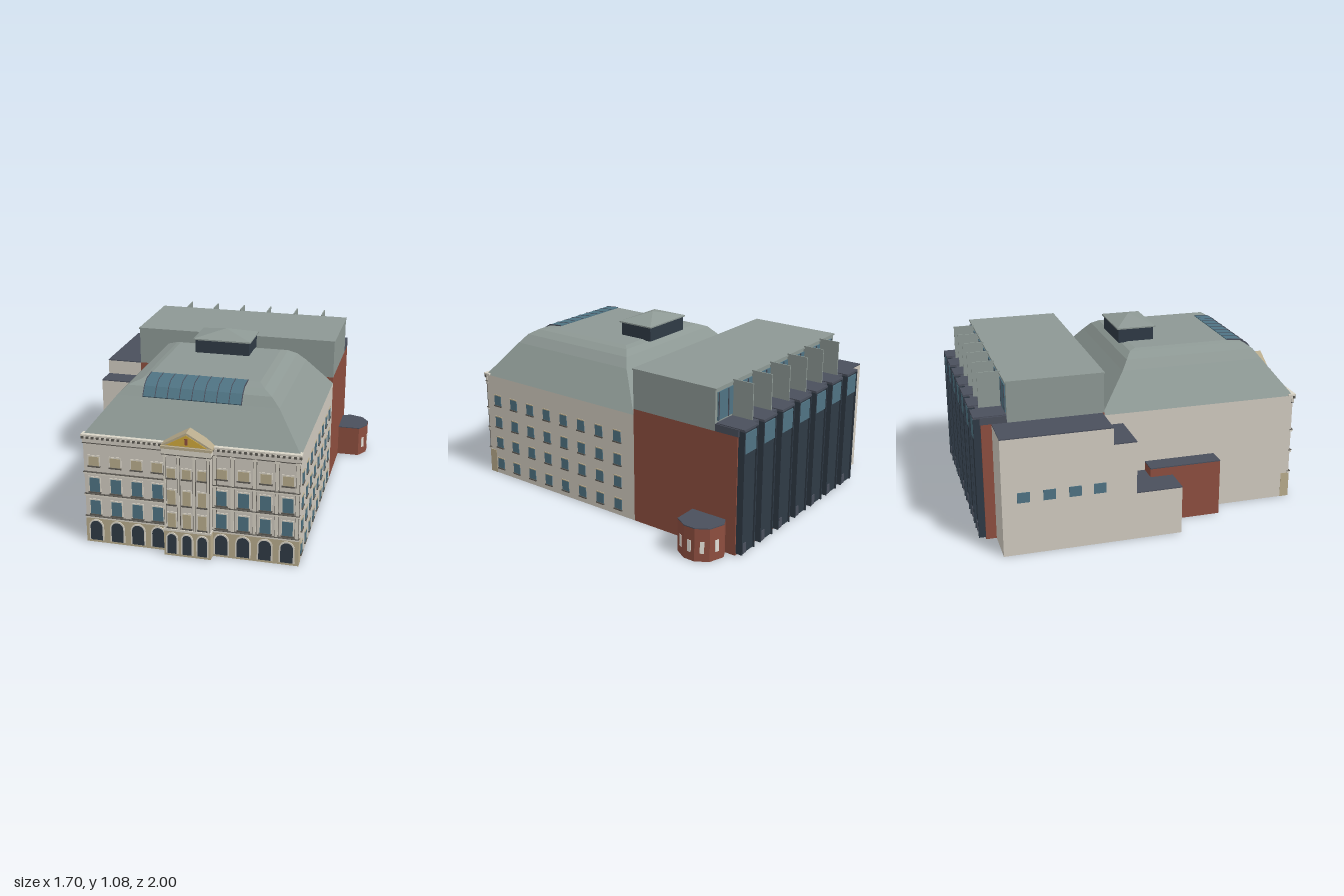
import * as THREE from 'three';

const mat = (color) => new THREE.MeshStandardMaterial({ color, flatShading: true });
const M = {
  stone: mat(0xd0cabf), tan: mat(0xb8ab8c), trim: mat(0xdad5c8), roof: mat(0x8d9894), brick: mat(0x8d4e3f),
  dark: mat(0x2f3a45), slate: mat(0x4a4f5c), glass: mat(0x4f7383), gold: mat(0xd0a83c), line: mat(0x5d5a54),
  blind: mat(0xb9ad8d), white: mat(0xe4e0d8),
};

export function createModel() {
  const root = new THREE.Group();
  const add = (name, geo, m) => {
    const mesh = new THREE.Mesh(geo, m);
    mesh.name = name;
    root.add(mesh);
    return mesh;
  };
  // box given by its limits
  const box = (name, m, x0, x1, y0, y1, z0, z1) => {
    const g = new THREE.BoxGeometry(x1 - x0, y1 - y0, z1 - z0);
    g.translate((x0 + x1) / 2, (y0 + y1) / 2, (z0 + z1) / 2);
    return add(name, g, m);
  };
  // stacked rectangles [y, x0, x1, z0, z1] joined into a closed hipped form
  const hipped = (name, m, rings) => {
    const pts = rings.map(([y, x0, x1, z0, z1]) => [[x0, y, z1], [x1, y, z1], [x1, y, z0], [x0, y, z0]]);
    const pos = [];
    const quad = (a, b, c, d) => pos.push(...a, ...b, ...c, ...a, ...c, ...d);
    for (let r = 0; r + 1 < pts.length; r++)
      for (let i = 0; i < 4; i++) {
        const j = (i + 1) % 4;
        quad(pts[r][i], pts[r][j], pts[r + 1][j], pts[r + 1][i]);
      }
    quad(...pts[pts.length - 1]);
    quad(...pts[0].slice().reverse());
    const g = new THREE.BufferGeometry();
    g.setAttribute('position', new THREE.Float32BufferAttribute(pos, 3));
    g.computeVertexNormals();
    return add(name, g, m);
  };
  const poly = (p) => new THREE.Shape(p.map(([x, y]) => new THREE.Vector2(x, y)));
  const extrude = (shape, depth) => new THREE.ExtrudeGeometry(shape, { depth, bevelEnabled: false, curveSegments: 8 });

  // main block and its mansard roof
  box('mainBlock', M.stone, -0.57, 0.66, 0, 0.66, -0.26, 0.93);
  hipped('mainRoof', M.roof, [
    [0.66, -0.57, 0.66, -0.26, 0.93], [0.86, -0.41, 0.51, -0.09, 0.78], [0.91, -0.36, 0.46, -0.05, 0.745],
    [0.938, -0.29, 0.41, -0.01, 0.7], [0.946, -0.26, 0.37, 0.03, 0.62],
  ]);

  // curved skylight on the front roof slope
  const skylight = (name, m, x0, x1, o) => {
    const g = extrude(poly([[0.775, 0.85], [0.78 + o, 0.86 + o], [0.745 + o, 0.91 + o], [0.7 + o, 0.938 + o],
      [0.615, 0.946 + o], [0.615, 0.92], [0.7, 0.9]]), x1 - x0);
    g.rotateY(-Math.PI / 2);
    g.translate(x1, 0, 0);
    add(name, g, m);
  };
  skylight('skylight', M.glass, -0.26, 0.3, 0.005);
  for (let i = 0; i <= 8; i++) skylight('skylightBar', M.slate, -0.262 + i * 0.07, -0.258 + i * 0.07, 0.007);

  // roof lantern
  box('lanternBox', M.dark, -0.12, 0.21, 0.94, 1.03, -0.03, 0.19);
  hipped('lanternRoof', M.roof, [[1.025, -0.13, 0.22, -0.04, 0.2], [1.033, -0.13, 0.22, -0.04, 0.2],
    [1.076, 0.044, 0.046, 0.079, 0.081]]);

  // window with surround, sill and glazing on the front
  const frontWindow = (x, y, w, h, z, m) => {
    box('windowFrame', M.trim, x - w / 2 - 0.006, x + w / 2 + 0.006, y, y + h + 0.008, z, z + 0.004);
    box('windowPane', m, x - w / 2, x + w / 2, y, y + h, z, z + 0.006);
    box('windowSill', M.line, x - w / 2 - 0.007, x + w / 2 + 0.007, y - 0.008, y, z, z + 0.01);
  };
  const archShape = (x, w, y0, y1) => {
    const s = new THREE.Shape(), r = w / 2;
    s.moveTo(x - r, y0);
    s.lineTo(x + r, y0);
    s.lineTo(x + r, y1 - r);
    s.absarc(x, y1 - r, r, 0, Math.PI, false);
    s.lineTo(x - r, y0);
    return s;
  };
  const frontArch = (x, w, z) => {
    add('archSurround', extrude(archShape(x, w + 0.018, 0.015, 0.146), 0.005), M.trim).position.z = z;
    add('archOpening', extrude(archShape(x, w, 0.017, 0.137), 0.008), M.dark).position.z = z;
  };

  // projecting centre bay
  box('centreBay', M.stone, -0.09, 0.175, 0, 0.66, 0.9, 0.98);
  box('bayBase', M.tan, -0.092, 0.177, 0, 0.158, 0.9, 0.983);

  // front storeys
  box('groundStorey', M.tan, -0.572, 0.662, 0, 0.155, 0.88, 0.934);
  const sides = [-0.51, -0.384, -0.26, -0.14, 0.226, 0.35, 0.473, 0.596];
  for (const x of sides) {
    frontArch(x, 0.07, 0.934);
    frontWindow(x, 0.18, 0.06, 0.085, 0.93, M.glass);
    frontWindow(x, 0.32, 0.06, 0.085, 0.93, M.glass);
    frontWindow(x, 0.48, 0.06, 0.055, 0.93, M.blind);
  }
  for (const x of [-0.045, 0.042, 0.13]) {
    frontArch(x, 0.052, 0.983);
    frontWindow(x, 0.18, 0.046, 0.085, 0.98, M.blind);
    frontWindow(x, 0.32, 0.046, 0.085, 0.98, M.blind);
    frontWindow(x, 0.48, 0.046, 0.055, 0.98, M.blind);
  }

  // string courses, cornice and brackets
  for (const y of [0.16, 0.3, 0.435]) {
    for (const [a, b] of [[-0.573, -0.09], [0.175, 0.663]]) {
      box('stringCourse', M.trim, a, b, y - 0.007, y + 0.004, 0.92, 0.939);
      box('stringCourseCap', M.line, a, b, y + 0.004, y + 0.008, 0.92, 0.942);
    }
  }
  box('bayCourse', M.trim, -0.094, 0.179, 0.155, 0.167, 0.92, 0.988);
  box('friezeCap', M.line, -0.573, 0.663, 0.615, 0.62, 0.92, 0.939);
  box('frieze', M.stone, -0.573, 0.663, 0.62, 0.65, 0.92, 0.937);
  box('cornice', M.trim, -0.577, 0.667, 0.66, 0.67, 0.9, 0.947);
  for (let i = 0; i < 42; i++) {
    const x = -0.57 + i * 0.03;
    if (x > -0.11 && x < 0.18) continue;
    box('corniceBracket', M.line, x - 0.007, x + 0.007, 0.643, 0.66, 0.93, 0.944);
  }

  // pilasters: between the windows on one wing, and framing the bay
  const pilaster = (x, z, w) => {
    box('pilaster', M.trim, x - w / 2, x + w / 2, 0.167, 0.605, z - 0.01, z + 0.008);
    for (const s of [-1, 1])
      box('pilasterEdge', M.line, x + s * w / 2 - 0.002, x + s * w / 2 + 0.002, 0.167, 0.605, z - 0.01, z + 0.006);
    box('pilasterCapital', M.trim, x - w / 2 - 0.004, x + w / 2 + 0.004, 0.605, 0.618, z - 0.01, z + 0.011);
  };
  for (const x of [0.188, 0.288, 0.412, 0.535, 0.648]) pilaster(x, 0.93, 0.018);
  for (const x of [-0.08, -0.002, 0.086, 0.165]) pilaster(x, 0.98, 0.012);

  // bay entablature and pediment
  box('bayEntablature', M.trim, -0.096, 0.181, 0.62, 0.655, 0.92, 0.988);
  box('bayEntablatureLine', M.line, -0.098, 0.183, 0.616, 0.621, 0.92, 0.99);
  box('bayCornice', M.tan, -0.1, 0.188, 0.655, 0.67, 0.92, 0.998);
  add('pediment', extrude(poly([[-0.1, 0.67], [0.188, 0.67], [0.044, 0.752]]), 0.085), M.tan).position.z = 0.9;
  add('tympanum', extrude(poly([[-0.07, 0.674], [0.158, 0.674], [0.044, 0.739]]), 0.004), M.gold).position.z = 0.985;
  box('tympanumOrnament', M.brick, 0.036, 0.052, 0.685, 0.72, 0.985, 0.992);

  // windows along the long side wall
  for (let i = 0; i < 8; i++) {
    const z = 0.84 - i * 0.1395;
    for (const y of [0.04, 0.185, 0.325, 0.47]) {
      box('sideWindow', M.glass, 0.65, 0.664, y, y + 0.065, z - 0.027, z + 0.027);
      box('sideSill', M.line, 0.65, 0.668, y - 0.008, y, z - 0.031, z + 0.031);
      box('sideLintel', M.tan, 0.65, 0.665, y + 0.065, y + 0.071, z - 0.029, z + 0.029);
    }
  }

  // rear brick block with set-back upper storey
  box('rearBlock', M.brick, -0.62, 0.66, 0, 0.697, -0.96, -0.26);
  box('upperStorey', M.roof, -0.62, 0.66, 0.697, 0.928, -0.815, -0.26);
  box('upperRoof', M.roof, -0.624, 0.664, 0.928, 0.937, -0.822, -0.256);
  box('upperGlazing', M.glass, -0.6, 0.64, 0.75, 0.91, -0.82, -0.8);
  box('rearTerrace', M.slate, -0.62, 0.66, 0.697, 0.738, -0.965, -0.815);

  // rear towers with glazed heads, and fins above the gaps between them
  for (let i = 0; i < 7; i++) {
    const x = -0.546 + i * 0.189;
    box('tower', M.dark, x - 0.064, x + 0.064, 0.01, 0.735, -0.99, -0.83);
    box('towerGlass', M.glass, x - 0.058, x + 0.058, 0.6, 0.715, -0.996, -0.985);
    box('towerCap', M.slate, x - 0.066, x + 0.066, 0.73, 0.743, -1.0, -0.82);
    for (const s of [-1, 1])
      box('towerEdge', M.dark, x + s * 0.061 - 0.004, x + s * 0.061 + 0.004, 0.01, 0.735, -1.0, -0.95);
    box('towerDoor', M.slate, x + 0.015, x + 0.045, 0.01, 0.07, -0.995, -0.985);
    if (i < 6) {
      box('fin', M.roof, x + 0.091, x + 0.098, 0.738, 0.945, -0.945, -0.815);
      box('downpipe', M.dark, x + 0.085, x + 0.104, 0.01, 0.697, -0.966, -0.955);
    }
    for (const dx of [-0.045, 0.045])
      box('glazingBar', M.slate, x + dx - 0.003, x + dx + 0.003, 0.75, 0.91, -0.824, -0.815);
  }

  // stepped annex on the other side
  const annex = (x0, x1, h, z0, z1, m, name) => {
    box(name, m, x0, x1, 0, h - 0.006, z0, z1);
    box(name + 'Roof', M.slate, x0, x1, h - 0.006, h, z0, z1);
  };
  annex(-0.85, -0.62, 0.697, -0.9, -0.27, M.stone, 'annexTall');
  annex(-0.85, -0.57, 0.6, -0.27, -0.135, M.stone, 'annexMiddle');
  annex(-0.85, -0.57, 0.29, -0.135, 0.135, M.stone, 'annexLow');
  annex(-0.68, -0.57, 0.345, 0.0, 0.43, M.brick, 'brickAnnex');
  for (const z of [-0.78, -0.635, -0.49, -0.35])
    box('annexWindow', M.glass, -0.854, -0.84, 0.315, 0.375, z - 0.035, z + 0.035);

  // faceted side porch
  const plan = [[0.65, -0.675], [0.8, -0.675], [0.845, -0.75], [0.845, -0.82], [0.8, -0.89], [0.71, -0.92], [0.65, -0.89]];
  const prism = (name, m, y0, y1) => {
    const g = extrude(poly(plan.map(([x, z]) => [x, -z])), y1 - y0);
    g.rotateX(-Math.PI / 2);
    g.translate(0, y0, 0);
    add(name, g, m);
  };
  prism('porch', M.brick, 0, 0.195);
  prism('porchRoof', M.slate, 0.195, 0.2);
  for (let i = 1; i < 5; i++) {
    const [a, b] = [plan[i], plan[i + 1]];
    const w = box('porchWindow', M.white, -0.012, 0.012, 0.05, 0.12, -0.003, 0.003);
    w.position.set((a[0] + b[0]) / 2, 0, (a[1] + b[1]) / 2);
    w.rotation.y = Math.atan2(-(b[1] - a[1]), b[0] - a[0]);
  }
  return root;
}
